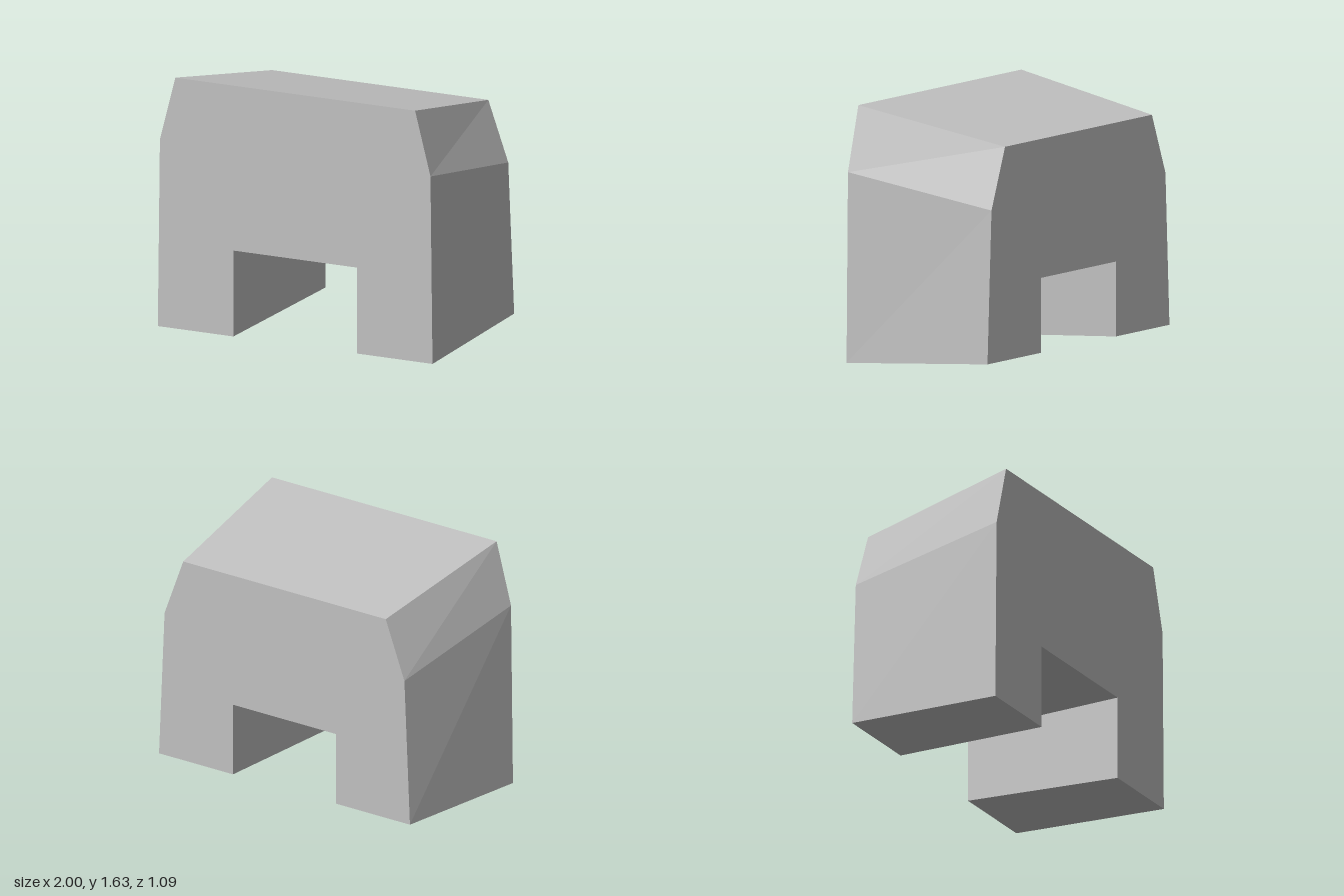
import * as THREE from 'three';

// Half outline (+x side): notch corner, inner foot, outer foot, shoulder, roof edge
const frontHalf = [[0.45, 0.56], [0.45, 0], [1, 0], [0.985, 1.22], [0.873, 1.635]];
const backHalf = [[0.40, 0.57], [0.40, 0.09], [0.975, 0.09], [0.932, 1.07], [0.787, 1.46]];
const DEPTH = 0.543;

// Full anticlockwise outline, mirrored across x = 0
function outline(half, z) {
  const left = half.map(([x, y]) => [-x, y]).reverse();
  return [...half, ...left].map(([x, y]) => new THREE.Vector3(x, y, z));
}

// Solid between two matching outlines, with capped ends
function loft(front, back) {
  const pos = [];
  const tri = (...pts) => pts.forEach((p) => pos.push(p.x, p.y, p.z));
  const n = front.length;

  // Outer walls, roof, feet and notch
  for (let i = 0; i < n; i++) {
    const j = (i + 1) % n;
    tri(front[i], back[i], back[j]);
    tri(front[i], back[j], front[j]);
  }

  // Front and back faces
  const flat = front.map((p) => new THREE.Vector2(p.x, p.y));
  for (const [a, b, c] of THREE.ShapeUtils.triangulateShape(flat, [])) {
    tri(front[a], front[b], front[c]);
    tri(back[a], back[c], back[b]);
  }

  const geo = new THREE.BufferGeometry();
  geo.setAttribute('position', new THREE.Float32BufferAttribute(pos, 3));
  geo.computeVertexNormals();
  return geo;
}

export function createModel() {
  const group = new THREE.Group();
  group.name = 'archBlock';
  const grey = new THREE.MeshStandardMaterial({ color: 0xc0c0c0 });
  grey.name = 'plainGrey';

  // Tapered block with a notch through its base
  const body = new THREE.Mesh(loft(outline(frontHalf, DEPTH), outline(backHalf, -DEPTH)), grey);
  body.name = 'notchedBody';
  group.add(body);
  return group;
}
